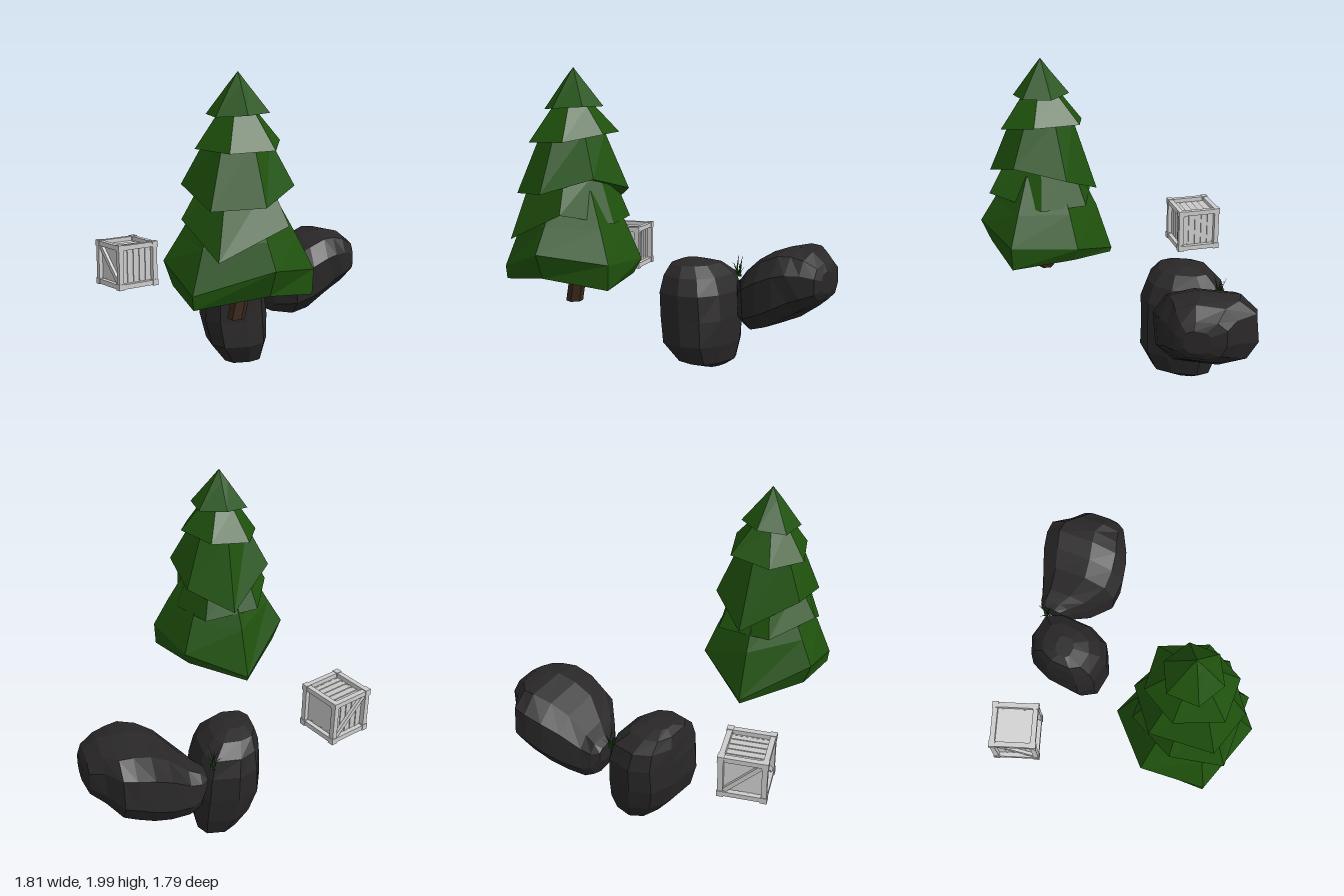
import * as THREE from 'three';

const mat = (color, extra = {}) => new THREE.MeshStandardMaterial({ color, flatShading: true, ...extra });
const LEAF = mat(0x1f520d), BARK = mat(0x3a281a), STONE = mat(0x292728), WOOD = mat(0xcccccc);
const BLADE = mat(0x1d4714, { side: THREE.DoubleSide });

// small seeded generator
function seeded(s) {
  return () => (s = (s * 16807) % 2147483647) / 2147483647;
}

// skin a stack of equal-length rings, closing both ends with fans
function loft(rings, bottom, top) {
  const pos = [];
  const tri = (...p) => p.forEach((q) => pos.push(...q));
  const mean = (r) => [0, 1, 2].map((k) => r.reduce((s, p) => s + p[k], 0) / r.length);
  const n = rings[0].length, last = rings[rings.length - 1];
  bottom = bottom || mean(rings[0]);
  top = top || mean(last);
  for (let j = 0; j < n; j++) {
    const k = (j + 1) % n;
    tri(bottom, rings[0][k], rings[0][j]);
    tri(top, last[j], last[k]);
    for (let i = 0; i < rings.length - 1; i++) {
      const a = rings[i], b = rings[i + 1];
      tri(a[j], a[k], b[k]);
      tri(a[j], b[k], b[j]);
    }
  }
  const g = new THREE.BufferGeometry();
  g.setAttribute('position', new THREE.Float32BufferAttribute(pos, 3));
  g.computeVertexNormals();
  return g;
}

function add(parent, name, geometry, material) {
  const m = new THREE.Mesh(geometry, material);
  m.name = name;
  parent.add(m);
  return m;
}

// boulder from stations [t, uMin, uMax, vMin, vMax] along an axis; skew slides v along u
function boulder(stations, place, seed, skew) {
  const rnd = seeded(seed), n = 10;
  const round = (v) => Math.sign(v) * Math.abs(v) ** 0.74;
  return loft(stations.map(([t, u0, u1, v0, v1]) =>
    Array.from({ length: n }, (_, j) => {
      const a = ((j + 0.2) / n) * Math.PI * 2;
      const k = 0.98 + rnd() * 0.06;
      const u = ((u1 - u0) / 2) * round(Math.cos(a)) * k;
      const v = ((v1 - v0) / 2) * round(Math.sin(a)) * k;
      return place(t, (u0 + u1) / 2 + u, (v0 + v1) / 2 + v + skew * u);
    })));
}

function makeTree() {
  const tree = new THREE.Group();
  tree.name = 'tree';
  const cx = -0.27, cz = 0.49;
  const toward = (p, s, y) => [cx + (p[0] - cx) * s, y, cz + (p[1] - cz) * s];

  // bent trunk
  const trunk = [[0.575, -0.285], [0.69, -0.262], [0.95, -0.268]].map(([y, x]) =>
    Array.from({ length: 6 }, (_, j) => {
      const a = (j / 6) * Math.PI * 2 + 0.3;
      return [x + Math.sin(a) * 0.052, y, cz + Math.cos(a) * 0.052];
    }));
  add(tree, 'trunk', loft(trunk), BARK);

  // lowest skirt: corners [x, z, rim y, lip scale, lip y], drooping at every other corner
  const rim = [[-0.19, 0.9, 0.93, 0.85, 0.78], [0.14, 0.64, 0.87, 0.98, 0.72],
    [0.04, 0.23, 0.84, 0.88, 0.75], [-0.34, 0.05, 0.7, 0.98, 0.67],
    [-0.68, 0.35, 0.92, 0.88, 0.77], [-0.62, 0.75, 0.79, 0.98, 0.71]];
  add(tree, 'lowestBranches', loft([
    rim.map((p) => toward(p, p[3], p[4])),
    rim.map((p) => [p[0], p[2], p[1]]),
    rim.map((p) => toward(p, 0.78, 1.05 + (p[2] - 0.84) * 0.3)),
    rim.map((p) => toward(p, 0.5, 1.28)),
  ], [cx, 0.82, cz]), LEAF);

  // upper tiers: rim corners [x, z, y], then neck scale, neck height, tip height
  const tiers = [
    [[[-0.08, 0.81, 1.16], [0.02, 0.46, 1.08], [-0.09, 0.19, 1.09], [-0.45, 0.2, 1.12],
      [-0.61, 0.5, 1.18], [-0.49, 0.82, 0.98]], 0.62, 1.4, 1.5],
    [[[-0.22, 0.83, 1.27], [0.02, 0.63, 1.36], [0, 0.3, 1.28], [-0.27, 0.14, 1.15],
      [-0.57, 0.35, 1.36], [-0.51, 0.74, 1.25]], 0.56, 1.62, 1.7],
    [[[-0.13, 0.73, 1.57], [-0.02, 0.5, 1.61], [-0.14, 0.23, 1.61], [-0.4, 0.25, 1.58],
      [-0.52, 0.47, 1.57], [-0.4, 0.74, 1.56]], 0.46, 1.77, 1.83],
    [[[-0.27, 0.67, 1.76], [-0.11, 0.58, 1.77], [-0.11, 0.4, 1.77], [-0.27, 0.31, 1.78],
      [-0.43, 0.39, 1.76], [-0.43, 0.58, 1.75]], 0.3, 1.93, 2],
  ];
  tiers.forEach(([corners, s, neck, tip], i) => add(tree, 'branchTier' + (i + 2), loft([
    corners.map((p) => [p[0], p[2], p[1]]),
    corners.map((p) => toward(p, s, neck)),
  ], [cx, corners[0][2] + 0.06, cz], [cx, tip, cz]), LEAF));
  return tree;
}

function makeCrate() {
  const crate = new THREE.Group();
  crate.name = 'crate';
  const box = (name, w, h, d, x, y, z, parent = crate) => {
    const m = add(parent, name, new THREE.BoxGeometry(w, h, d), WOOD);
    m.position.set(x, y, z);
    return m;
  };
  const e = 0.128, b = 0.032;
  box('innerBox', 0.21, 0.21, 0.21, 0, 0, 0);
  // edge beams and corner blocks
  for (const p of [-e, e]) for (const q of [-e, e]) {
    box('beam', 2 * e, b, b, 0, p, q);
    box('beam', b, 2 * e, b, p, 0, q);
    box('beam', b, b, 2 * e, p, q, 0);
    for (const r of [-e, e]) box('cornerBlock', 0.04, 0.04, 0.04, p, q, r);
  }
  // recessed slats on every face, with braces on two sides
  const faces = [[0, 0], [0, Math.PI / 2], [0, Math.PI], [0, -Math.PI / 2], [-Math.PI / 2, 0], [Math.PI / 2, 0]];
  faces.forEach(([rx, ry], f) => {
    const face = new THREE.Group();
    face.name = 'slattedFace';
    face.rotation.set(rx, ry, 0);
    for (let i = -2; i <= 2; i++) {
      // each board is tipped a little so that its edges overlap the next
      const off = i * 0.045;
      if (f < 4) box('slat', 0.045, 0.23, 0.01, off, 0, 0.11, face).rotation.y = 0.12;
      else box('slat', 0.23, 0.045, 0.01, 0, off, 0.11, face).rotation.x = 0.12;
    }
    if (f === 2 || f === 3) {
      const brace = box('brace', 0.32, 0.028, 0.02, 0, 0, 0.126, face);
      brace.rotation.z = f === 2 ? Math.PI / 4 : -Math.PI / 4;
    }
    crate.add(face);
  });
  crate.position.set(-0.72, 0.745, -0.49);
  crate.rotation.y = 0.34;
  return crate;
}

function makeGrass() {
  const grass = new THREE.Group();
  grass.name = 'grass';
  const rnd = seeded(77);
  // each blade is a tapering strip that leans outwards
  for (let i = 0; i < 10; i++) {
    const g = new THREE.PlaneGeometry(0.017, 1, 1, 4);
    const p = g.attributes.position, h = 0.08 + rnd() * 0.08, lean = 0.02 + rnd() * 0.03;
    for (let k = 0; k < p.count; k++) {
      const t = p.getY(k) + 0.5;
      p.setXYZ(k, p.getX(k) * (1 - t * 0.9), t * h, lean * t * t);
    }
    g.computeVertexNormals();
    const blade = add(grass, 'blade', g, BLADE);
    blade.position.set((rnd() - 0.5) * 0.03, 0, (rnd() - 0.5) * 0.03);
    blade.rotation.y = i * 2.4;
  }
  grass.position.set(0.14, 0.59, -0.67);
  return grass;
}

export function createModel() {
  const model = new THREE.Group();
  model.name = 'forestProps';
  model.add(makeTree(), makeCrate(), makeGrass());

  // upright boulder: stations along y, spans in z then x
  add(model, 'uprightBoulder', boulder([
    [0.01, -0.56, -0.38, 0.03, 0.14],
    [0.05, -0.64, -0.25, -0.09, 0.19],
    [0.18, -0.69, -0.175, -0.19, 0.22],
    [0.35, -0.715, -0.17, -0.23, 0.22],
    [0.52, -0.715, -0.175, -0.22, 0.2],
    [0.63, -0.68, -0.21, -0.21, 0.16],
    [0.7, -0.6, -0.28, -0.19, 0.08],
    [0.725, -0.5, -0.38, -0.14, 0],
  ], (t, u, v) => [v, t, u], 11, -0.13), STONE);

  // leaning boulder: stations along x, spans in y then z
  add(model, 'leaningBoulder', boulder([
    [0.185, 0.48, 0.59, -0.73, -0.58],
    [0.23, 0.36, 0.62, -0.77, -0.52],
    [0.3, 0.31, 0.66, -0.79, -0.42],
    [0.42, 0.3, 0.77, -0.83, -0.29],
    [0.53, 0.34, 0.84, -0.87, -0.28],
    [0.64, 0.4, 0.88, -0.9, -0.3],
    [0.72, 0.45, 0.88, -0.89, -0.33],
    [0.8, 0.5, 0.86, -0.78, -0.36],
    [0.88, 0.56, 0.8, -0.71, -0.41],
    [0.905, 0.61, 0.75, -0.62, -0.46],
  ], (t, u, v) => [t, u, v], 29, 0), STONE);
  return model;
}
